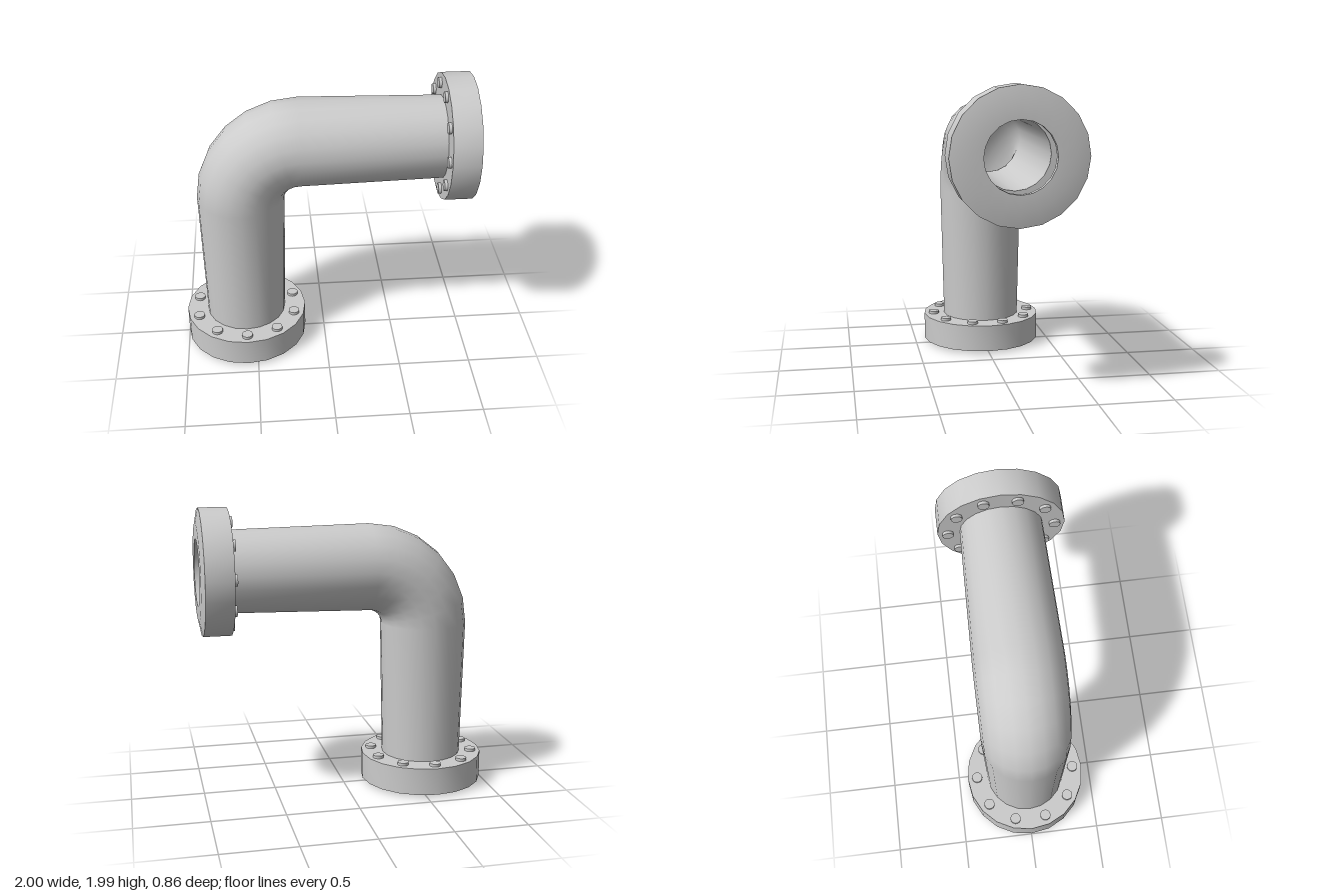
import * as THREE from 'three';
import { toCreasedNormals } from 'three/addons/utils/BufferGeometryUtils.js';

const SIDES = 20;
const material = new THREE.MeshStandardMaterial({ color: 0xcccccc });

function named(geometry, name) {
  const mesh = new THREE.Mesh(geometry, material);
  mesh.name = name;
  return mesh;
}

// Centre line: straight up, a 90 degree bend, then straight towards +x.
// Each station is [x, y, turn angle, radius]; the straights taper to the flanges.
const bendCentre = [-0.17, 1.16], bendRadius = 0.4, bendSteps = 6;
const stations = [[-0.57, 0.2, 0, 0.28]];
for (let i = 0; i <= bendSteps; i++) {
  const t = (i / bendSteps) * Math.PI / 2;
  stations.push([
    bendCentre[0] - bendRadius * Math.cos(t),
    bendCentre[1] + bendRadius * Math.sin(t), t, 0.3,
  ]);
}
stations.push([0.8, 1.56, Math.PI / 2, 0.28]);

// Sweep a ring along the stations; inward flips the faces for the bore
function sweep(radiusAt, inward) {
  const pos = [], index = [];
  stations.forEach(([x, y, t, r], i) => {
    const rad = radiusAt(r);
    for (let j = 0; j < SIDES; j++) {
      const a = (j / SIDES) * Math.PI * 2;
      const n = rad * Math.cos(a);
      pos.push(x - n * Math.cos(t), y + n * Math.sin(t), rad * Math.sin(a));
      if (i === stations.length - 1) continue;
      const p = i * SIDES + j, q = i * SIDES + (j + 1) % SIDES;
      const u = p + SIDES, v = q + SIDES;
      if (inward) index.push(p, u, q, q, u, v);
      else index.push(p, q, u, q, v, u);
    }
  });
  const g = new THREE.BufferGeometry();
  g.setAttribute('position', new THREE.Float32BufferAttribute(pos, 3));
  g.setIndex(index);
  g.computeVertexNormals();
  return g;
}

// Flange with a recessed cavity behind its lip, and a ring of ten bolts
function makeFlange(name) {
  const group = new THREE.Group();
  group.name = name;
  const profile = [
    [0.225, 0], [0.33, 0], [0.43, 0.02], [0.43, 0.21], [0.225, 0.21],
    [0.225, 0.19], [0.33, 0.19], [0.33, 0.04], [0.225, 0.04], [0.225, 0],
  ].map(([r, y]) => new THREE.Vector2(r, y));
  group.add(named(toCreasedNormals(new THREE.LatheGeometry(profile, SIDES), 0.6), 'flangeRing'));

  const boltGeometry = new THREE.CylinderGeometry(0.038, 0.038, 0.03, 14);
  for (let i = 0; i < 10; i++) {
    const a = (i / 10) * Math.PI * 2;
    const bolt = named(boltGeometry, 'bolt');
    bolt.position.set(0.36 * Math.sin(a), 0.215, 0.36 * Math.cos(a));
    group.add(bolt);
  }
  return group;
}

export function createModel() {
  const model = new THREE.Group();
  model.name = 'pipeElbow';
  model.add(named(sweep((r) => r, false), 'pipeWall'));
  model.add(named(sweep(() => 0.225, true), 'pipeBore'));

  const baseFlange = makeFlange('baseFlange');
  baseFlange.position.set(-0.57, 0, 0);
  const sideFlange = makeFlange('sideFlange');
  sideFlange.rotation.z = Math.PI / 2;
  sideFlange.position.set(1, 1.56, 0);
  model.add(baseFlange, sideFlange);
  return model;
}
